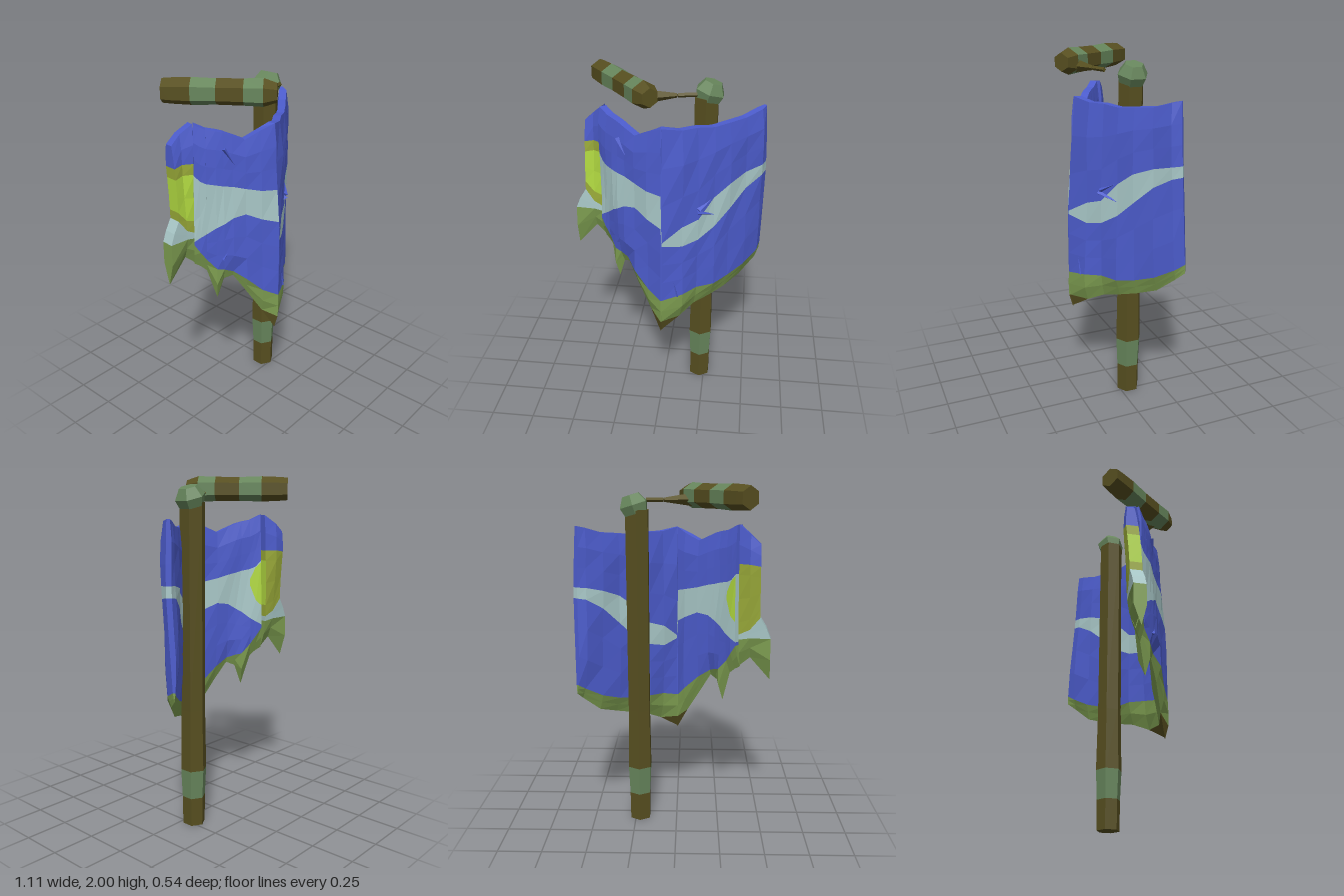
import * as THREE from 'three';

const mat = (name, color) => Object.assign(new THREE.MeshStandardMaterial({ color }), { name });
const blue = mat('blue cloth', 0x4c5ccc);
const pale = mat('pale stripe', 0xa9c8c8);
const hem = mat('green hem', 0x7d9d50);
const lime = mat('lime patch', 0xb0d840);
const olive = mat('olive patch', 0x98a838);
const brown = mat('brown wood', 0x574f20);
const moss = mat('mossy wood', 0x67865c);

const clamp = (v) => Math.min(1, Math.max(0, v));

// Unshared corners keep every facet flat
function faceted(geometry) {
  const g = geometry.index ? geometry.toNonIndexed() : geometry;
  g.computeVertexNormals();
  return g;
}

function addMesh(parent, name, geometry, material) {
  const mesh = new THREE.Mesh(faceted(geometry), material);
  mesh.name = name;
  parent.add(mesh);
  return mesh;
}

// Cloth made of columns running from +x to -x: { x, z, ys, thin, flare, lean }.
// ys lists the heights that divide the colour zones, top to bottom.
// A zone is [name, material, rows, material of the back if it differs].
function cloth(name, columns, zones) {
  const group = new THREE.Group();
  group.name = name;

  // Sideways direction of each column, from its nearest clearly separate neighbours
  const normals = columns.map((c, i) => {
    const apart = (p) => Math.hypot(p.x - c.x, p.z - c.z) > 0.02;
    const a = columns.slice(0, i).reverse().find(apart) || c;
    const b = columns.slice(i + 1).find(apart) || c;
    return new THREE.Vector2(b.z - a.z, a.x - b.x).normalize();
  });

  // Point on the cloth, which spreads outward toward the hem; side is 1 for the front, -1 for the back
  const point = (i, y, side) => {
    const { x, z, ys, thin = 1, flare = 0, lean = 0 } = columns[i], n = normals[i];
    const top = ys[0], bottom = ys[ys.length - 1];
    const half = thin * (0.022 + 0.014 * clamp((top - y) / 0.1)) * clamp((y - bottom) / 0.1);
    const crease = 0.007 * Math.sin(x * 30 + y * 7) * clamp((top - y) * 5);
    const off = side * half + crease;
    return [
      x * (1 + 0.04 * (1.1 - y)) + n.x * off + flare * clamp((1.27 - y) / 0.1),
      y,
      z * (1 + 0.2 * (1.1 - y)) + n.y * off + lean * (y - 1.1),
    ];
  };

  zones.forEach(([part, material, rows, backMaterial = material], k) => {
    const front = [], back = [];
    const tri = (out, a, b, c) => {
      const u = new THREE.Vector3(...b).sub(new THREE.Vector3(...a));
      const v = new THREE.Vector3(...c).sub(new THREE.Vector3(...a));
      if (u.cross(v).length() > 1e-7) out.push(...a, ...b, ...c);
    };
    const quad = (out, a, b, c, d) => { tri(out, a, b, c); tri(out, a, c, d); };
    const at = (i, j, side) =>
      point(i, THREE.MathUtils.lerp(columns[i].ys[k], columns[i].ys[k + 1], j / rows), side);
    const e = columns.length - 1;

    for (let j = 0; j < rows; j++) {
      for (let i = 0; i < e; i++) {
        quad(front, at(i, j, 1), at(i + 1, j, 1), at(i + 1, j + 1, 1), at(i, j + 1, 1));
        quad(back, at(i + 1, j, -1), at(i, j, -1), at(i, j + 1, -1), at(i + 1, j + 1, -1));
        if (k + j === 0) quad(front, at(i, 0, 1), at(i, 0, -1), at(i + 1, 0, -1), at(i + 1, 0, 1));
      }
      // Side edges
      quad(front, at(0, j, -1), at(0, j, 1), at(0, j + 1, 1), at(0, j + 1, -1));
      quad(front, at(e, j, 1), at(e, j, -1), at(e, j + 1, -1), at(e, j + 1, 1));
    }
    for (const [suffix, out, m] of [['Front', front, material], ['Back', back, backMaterial]]) {
      const g = new THREE.BufferGeometry();
      g.setAttribute('position', new THREE.Float32BufferAttribute(out, 3));
      addMesh(group, part + suffix, g, m);
    }
  });
  return group;
}

// Six-sided pole along +y from rings [height, radius, colour of the piece above]
function bandedPole(name, rings) {
  const group = new THREE.Group();
  group.name = name;
  for (let i = 0; i < rings.length - 1; i++) {
    const [y0, r0, material] = rings[i], [y1, r1] = rings[i + 1];
    const open = i > 0 && i < rings.length - 2;
    const g = new THREE.CylinderGeometry(r1, r0, y1 - y0, 6, 1, open);
    g.translate(0, (y0 + y1) / 2, 0);
    addMesh(group, name + 'Band', g, material);
  }
  return group;
}

export function createModel() {
  const model = new THREE.Group();
  model.name = 'tatteredBanner';

  // Upright pole and its lopsided cap
  const pole = bandedPole('pole', [
    [0, 0.066, brown], [0.17, 0.068, moss], [0.34, 0.076, brown], [0.7, 0.07, brown], [1.86, 0.072, brown],
  ]);
  pole.position.set(0.222, 0, -0.056);
  const cap = bandedPole('poleCap', [[-0.05, 0.07, moss], [0.0, 0.086, moss], [0.055, 0.052, moss]]);
  cap.position.set(0.24, 1.887, -0.058);
  cap.rotation.z = -0.3;
  model.add(pole, cap);

  // Broken crossbar, lying across the left of the banner
  const bar = bandedPole('crossbar', [
    [0, 0.064, brown], [0.05, 0.068, brown], [0.15, 0.072, moss], [0.28, 0.068, brown],
    [0.42, 0.07, moss], [0.52, 0.074, brown], [0.59, 0.05, brown],
  ]);
  bar.children.forEach((m) => m.geometry.rotateX(Math.PI / 2));
  bar.position.set(-0.39, 1.93, -0.24);
  bar.rotation.y = Math.atan2(0.34, 0.47);
  model.add(bar);

  // Splinter left where the bar snapped, a thick root and a flat blade
  for (const [name, r0, r1, x0, x1] of [['splinterRoot', 0.038, 0.012, -0.09, 0.08], ['splinterBlade', 0.012, 0.012, 0.08, 0.18]]) {
    const g = new THREE.CylinderGeometry(r1, r0, x1 - x0, 4);
    g.rotateZ(-Math.PI / 2);
    const shard = addMesh(model, name, g, brown);
    const x = (x0 + x1) / 2;
    shard.position.set(x, 1.907, 0.122 - x * 0.25);
    shard.rotation.y = 0.245;
  }

  // Main cloth: x, z, top, stripe top, stripe bottom, hem top, hem bottom, tip
  const main = [
    [0.556, -0.225, 1.78, 1.45, 1.39, 0.90, 0.85, 0.85],
    [0.525, -0.185, 1.77, 1.445, 1.38, 0.87, 0.81, 0.81],
    [0.44, -0.115, 1.74, 1.42, 1.32, 0.81, 0.72, 0.72],
    [0.35, -0.04, 1.73, 1.38, 1.22, 0.77, 0.68, 0.68],
    [0.27, 0.02, 1.72, 1.31, 1.13, 0.75, 0.65, 0.65],
    [0.18, 0.075, 1.73, 1.20, 1.07, 0.75, 0.62, 0.62],
    [0.10, 0.135, 1.73, 1.17, 1.05, 0.74, 0.57, 0.57],
    [0.006, 0.188, 1.75, 1.10, 1.08, 0.72, 0.57, 0.50],
    [0.0, 0.19, 1.75, 1.38, 1.19, 0.72, 0.57, 0.49],
    [-0.06, 0.147, 1.72, 1.39, 1.22, 0.77, 0.62, 0.62],
    [-0.14, 0.10, 1.68, 1.41, 1.26, 0.86, 0.77, 0.77],
    [-0.20, 0.06, 1.71, 1.43, 1.25, 0.91, 0.88, 0.88],
    [-0.24, 0.03, 1.73, 1.44, 1.22, 0.93, 0.86, 0.86],
    [-0.27, 0.005, 1.74, 1.45, 1.20, 0.94, 0.74, 0.74],
    [-0.31, -0.033, 1.75, 1.46, 1.16, 1.00, 0.92, 0.92],
  ].map(([x, z, ...ys], i) => ({ x, z, ys, thin: i ? 1 : 0.4 }));
  model.add(cloth('mainCloth', main, [
    ['upperCloth', blue, 3], ['stripe', pale, 1], ['lowerCloth', blue, 3], ['hem', hem, 2], ['hemTip', brown, 1],
  ]));

  // Left edge of the main cloth, where the lime patch wraps around behind
  const edge = [
    { x: -0.31, z: -0.033, ys: [1.75, 1.46, 1.40, 1.36, 1.16, 1.00, 0.92] },
    { x: -0.335, z: -0.057, ys: [1.765, 1.475, 1.47, 1.27, 1.14, 1.05, 0.95] },
    { x: -0.36, z: -0.08, ys: [1.78, 1.51, 1.50, 1.24, 1.12, 1.10, 0.97] },
  ];
  model.add(cloth('clothEdge', edge, [
    ['edgeTop', blue, 3], ['edgeStripe', pale, 1], ['patchEnd', pale, 1, lime], ['edgeStripeLow', pale, 1],
    ['edgeLower', blue, 1], ['edgeHem', hem, 2],
  ]));

  // Torn outer flap with its patch, duller on the outer half behind
  const flap = [
    { x: -0.362, z: -0.085, ys: [1.78, 1.57, 1.51, 1.24, 1.17, 1.14, 0.98], lean: -0.02 },
    { x: -0.42, z: -0.10, ys: [1.73, 1.57, 1.51, 1.26, 1.20, 1.15, 1.03], lean: -0.06 },
    { x: -0.475, z: -0.105, ys: [1.68, 1.56, 1.50, 1.32, 1.27, 1.15, 0.90], lean: -0.07, flare: -0.06 },
  ];
  model.add(cloth('outerFlap', flap, [
    ['flapTop', blue, 2], ['patchTop', olive, 1], ['patch', lime, 2, olive], ['patchBottom', olive, 1],
    ['flapStripe', pale, 2], ['flapHem', hem, 2],
  ]));

  // Sharp puckers in the front of the cloth: x, y, z, roll, length
  for (const [x, y, z, roll, length] of [
    [0.25, 1.22, 0.06, -1.9, 0.17], [0.24, 1.29, 0.065, -1.1, 0.13], [0.06, 0.85, 0.185, 0.2, 0.24],
    [-0.2, 1.56, 0.07, -2.6, 0.2], [-0.22, 1.08, 0.06, -0.5, 0.18],
  ]) {
    const pucker = addMesh(model, 'pucker', new THREE.ConeGeometry(0.035, length, 3), blue);
    pucker.position.set(x, y, z);
    pucker.rotation.set(0, x > 0 ? 0.6 : -0.6, roll);
  }
  return model;
}
